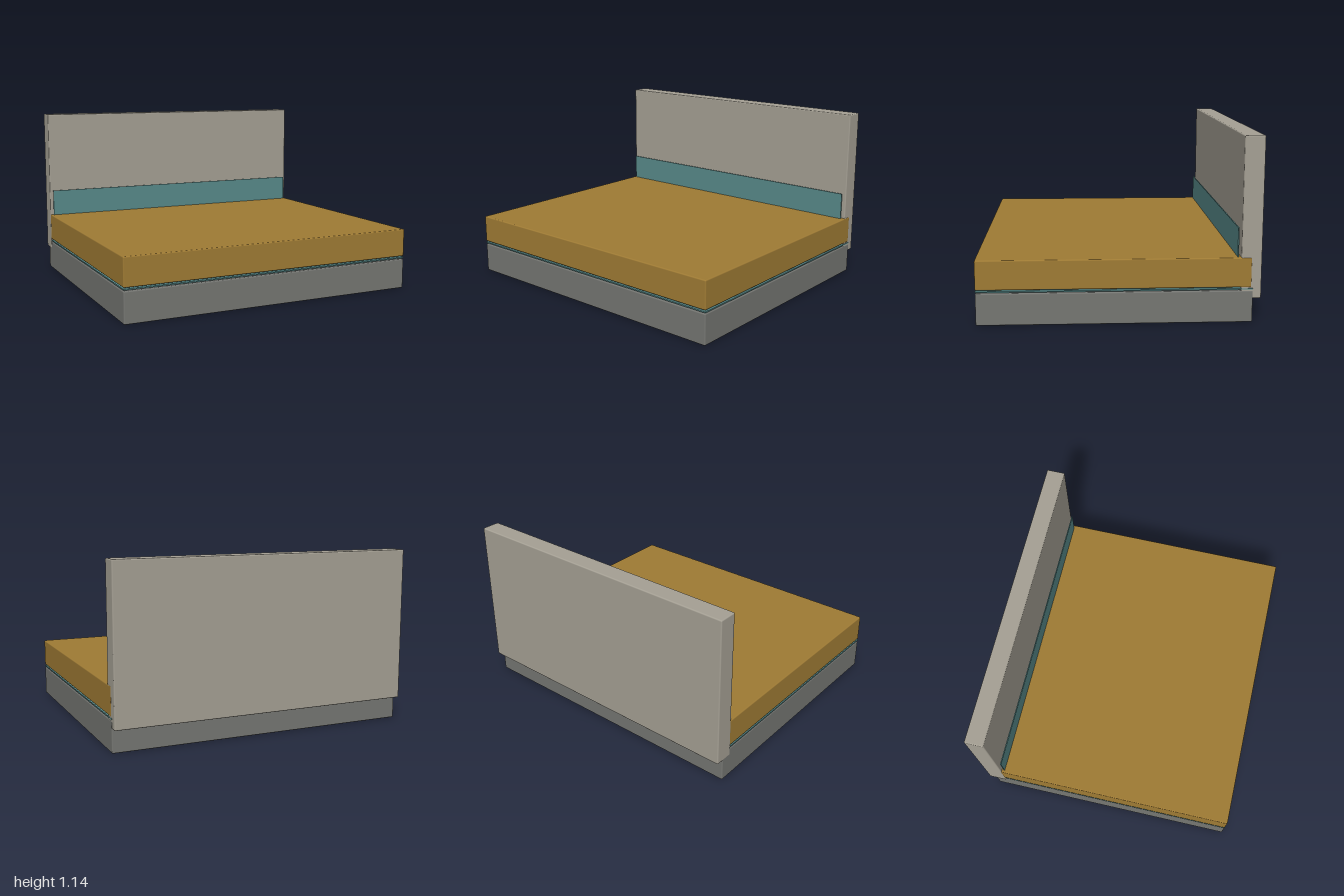
import * as THREE from 'three';
import { RoundedBoxGeometry } from 'three/addons/geometries/RoundedBoxGeometry.js';

const paint = (name, color) => {
  const material = new THREE.MeshStandardMaterial({ color });
  material.name = name;
  return material;
};

export function createModel() {
  const group = new THREE.Group();
  group.name = 'bed';

  const ochre = paint('ochre', 0x9f7b34);
  const teal = paint('teal', 0x588a8a);
  const grey = paint('grey', 0x757672);
  const stone = paint('stone', 0xa5a094);

  // Adds a box spanning the given ranges, with softened edges if radius > 0
  const slab = (name, material, [x0, x1], [y0, y1], [z0, z1], radius = 0) => {
    const size = [x1 - x0, y1 - y0, z1 - z0];
    const geometry = radius
      ? new RoundedBoxGeometry(...size, 2, radius)
      : new THREE.BoxGeometry(...size);
    const mesh = new THREE.Mesh(geometry, material);
    mesh.name = name;
    mesh.position.set((x0 + x1) / 2, (y0 + y1) / 2, (z0 + z1) / 2);
    group.add(mesh);
  };

  // Base and mattress, with a thin sheet in the gap between them
  slab('base', grey, [-0.998, 1], [0, 0.2], [-0.815, 0.865], 0.008);
  slab('sheet', teal, [-0.998, 1], [0.206, 0.214], [-0.815, 0.865]);
  slab('mattress', ochre, [-0.998, 1], [0.22, 0.405], [-0.805, 0.865], 0.008);

  // Headboard overlaps the rear of the bed, with a thin panel in front of it
  slab('headboard', stone, [-1, 0.998], [0.15, 1.145], [-0.865, -0.74], 0.008);
  slab('headPanel', teal, [-0.98, 0.975], [0.225, 0.585], [-0.727, -0.72]);

  return group;
}
